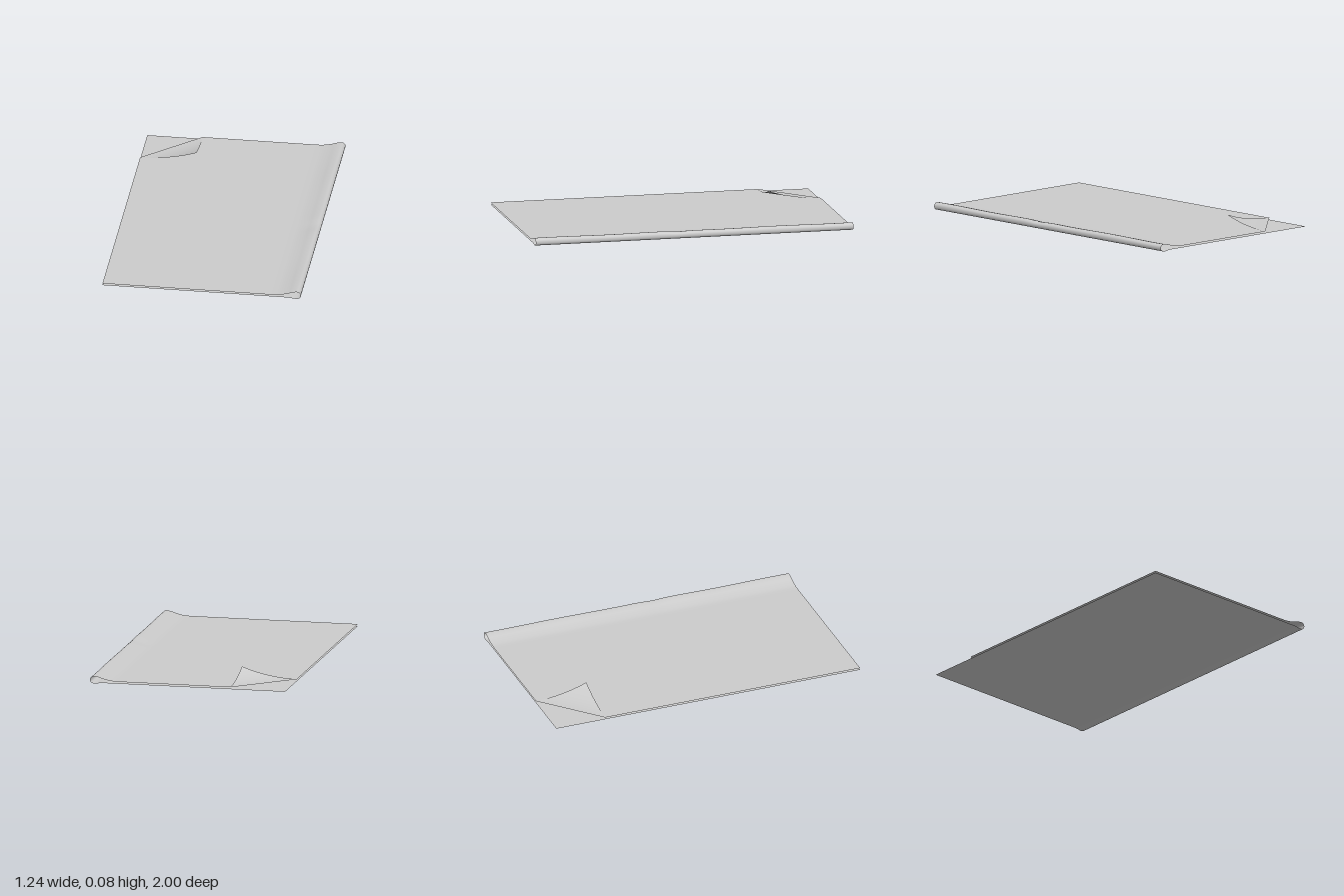
import * as THREE from 'three';

const material = new THREE.MeshStandardMaterial({ color: 0xcccccc, side: THREE.DoubleSide });

// Smooth surface through a grid of points given by fn(i, j)
function surface(name, ni, nj, fn) {
  const pos = [], idx = [];
  for (let i = 0; i <= ni; i++) for (let j = 0; j <= nj; j++) pos.push(...fn(i, j));
  for (let i = 0; i < ni; i++) for (let j = 0; j < nj; j++) {
    const a = i * (nj + 1) + j, b = a + nj + 1;
    idx.push(a, b, a + 1, b, b + 1, a + 1);
  }
  const g = new THREE.BufferGeometry();
  g.setAttribute('position', new THREE.Float32BufferAttribute(pos, 3));
  g.setIndex(idx);
  g.computeVertexNormals();
  const mesh = new THREE.Mesh(g, material);
  mesh.name = name;
  return mesh;
}

// The sheet is slightly askew in plan
const skew = (x, y, z) => [x - 0.015 * z, y, z + 0.02 * x];

const W = 0.605, L = 0.988, BASE = 0.019;
const CUT_X = -0.265, CUT_Z = -0.67; // ends of the turned corner's crease

export function createModel() {
  const group = new THREE.Group();
  group.name = 'foldedSheet';

  // Cross-section: lower layer, rounded fold on the left, bulge, upper layer
  const lower = [-W, -0.4, -0.2, 0, 0.2, 0.4, 0.52].map((x) => [x, 0.007]);
  const bend = new THREE.CatmullRomCurve3([
    [0.54, 0.006], [0.585, 0.002], [0.604, 0.012], [0.605, 0.034], [0.59, 0.046],
    [0.56, 0.043], [0.52, 0.031], [0.47, 0.021], [0.42, BASE],
  ].map(([x, y]) => new THREE.Vector3(x, y, 0))).getPoints(32).map((p) => [p.x, p.y]);
  const upper = [0.3, 0.15, 0, -0.1, -0.2, -0.3, -0.4, -0.5, -W].map((x) => [x, BASE]);
  const section = [...lower, ...bend, ...upper];
  const firstUpper = lower.length + bend.length;

  // Rows along the length, with one row exactly at the crease end
  const rows = [];
  for (let i = 0; i < 8; i++) rows.push(THREE.MathUtils.lerp(-L, CUT_Z, i / 8));
  for (let i = 0; i <= 40; i++) rows.push(THREE.MathUtils.lerp(CUT_Z, L, i / 40));

  group.add(surface('foldedLayers', rows.length - 1, section.length - 1, (i, j) => {
    const z = rows[i];
    let [x, y] = section[j];
    // Upper layer stops at the crease of the turned corner
    if (j >= firstUpper && z < CUT_Z) {
      const edge = THREE.MathUtils.mapLinear(z, -L, CUT_Z, CUT_X, -W);
      x = THREE.MathUtils.mapLinear(x, 0.3, -W, 0.3, edge);
    }
    // Gentle unevenness along the bulge, with one shallow dent
    if (y > BASE) {
      const wave = 1 + 0.05 * Math.sin(z * 9) - 0.2 * Math.exp(-(((z - 0.1) / 0.06) ** 2));
      y = BASE + (y - BASE) * wave;
    }
    return skew(x, y, z);
  }));

  // Turned-back corner, curling upward from its crease to the tip
  const A = [-W, CUT_Z], B = [CUT_X, -L], TIP = [-0.262, -0.66], N = 14;
  group.add(surface('turnedCorner', N, N, (i, j) => {
    const u = i / N, v = j / N;
    const at = (k) => THREE.MathUtils.lerp(THREE.MathUtils.lerp(A[k], B[k], v), TIP[k], u);
    return skew(at(0), BASE + 0.001 + 0.06 * u * u, at(1));
  }));

  return group;
}
